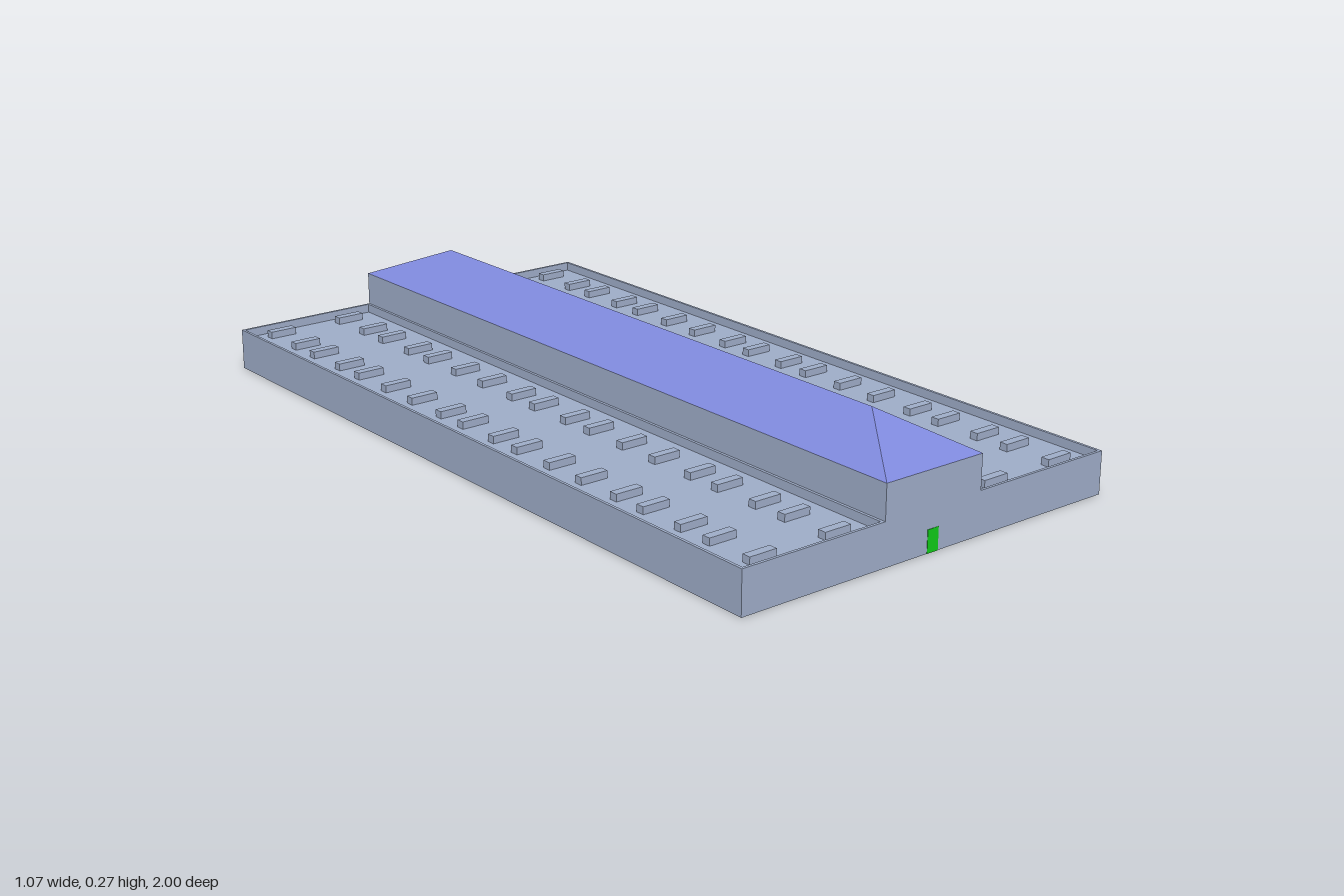
import * as THREE from 'three';

const material = (color) => new THREE.MeshStandardMaterial({ color, flatShading: true });

export function createModel() {
  const model = new THREE.Group();
  const wallMat = material(0x9dabc6);
  const roofMat = material(0x7f89dc);
  const doorMat = material(0x10c818);
  const floorMat = material(0x94897c);
  roofMat.side = THREE.DoubleSide;

  // Box given by its limits on each axis
  const box = (name, mat, x0, x1, y0, y1, z0, z1) => {
    const mesh = new THREE.Mesh(new THREE.BoxGeometry(x1 - x0, y1 - y0, z1 - z0), mat);
    mesh.position.set((x0 + x1) / 2, (y0 + y1) / 2, (z0 + z1) / 2);
    mesh.name = name;
    model.add(mesh);
  };
  // Same box on the given side, limits measured outwards from the middle
  const sideBox = (s, name, mat, a, b, ...rest) =>
    box(name, mat, Math.min(s * a, s * b), Math.max(s * a, s * b), ...rest);

  const W = 0.533, H = 0.142, T = 0.007;
  const deckY = 0.083, parapetY = 0.105, eaveY = 0.19, ridgeY = 0.273;

  for (const s of [-1, 1]) {
    // Flat-roofed wings with thin parapets
    sideBox(s, 'wing', wallMat, H, W, 0, deckY, -1, 1);
    sideBox(s, 'outerParapet', wallMat, W - T, W, deckY, parapetY, -1, 1);
    sideBox(s, 'innerParapet', wallMat, H, H + T, deckY, parapetY, -1, 1);
    for (const e of [-1, 1]) {
      const z = e * (1 - T / 2);
      sideBox(s, 'endParapet', wallMat, H + T, W - T, deckY, parapetY, z - T / 2, z + T / 2);
    }

    // Rooftop vents: three sections, three bays each, two vents per bay
    for (let section = 0; section < 3; section++)
      for (let bay = 0; bay < 3; bay++)
        for (const dz of [0, 0.124])
          for (const x of [0.235, 0.44]) {
            const z = -0.955 + section * 0.673 + bay * 0.216 + dz;
            sideBox(s, 'vent', wallMat, x - 0.036, x + 0.036, deckY, 0.101, z - 0.011, z + 0.011);
          }

    // Long walls of the central hall
    sideBox(s, 'hallSideWall', wallMat, H - T, H, 0, eaveY, -1, 1);

    // Walkway slabs, broken by gaps
    for (let i = 0; i < 6; i++) {
      const z = -0.99 + i * 0.33 + (s > 0 ? 0.03 : 0);
      sideBox(s, 'walkway', floorMat, 0.025, 0.105, 0, 0.006, z, z + 0.27);
    }
    // Inner side doors
    sideBox(1, 'innerDoor', doorMat, -H + T, -H + T + 0.004, 0, 0.055, s * 0.42 - 0.017, s * 0.42 + 0.017);
  }

  // Gable-end walls, entrance doors and partitions of the hall
  for (const e of [-1, 1]) {
    const z = e * (1 - T / 2);
    box('hallEndWall', wallMat, -H, H, 0, eaveY, z - T / 2, z + T / 2);
    box('entranceDoor', doorMat, -0.016, 0.016, 0, 0.055, e * 0.997 - 0.004, e * 0.997 + 0.004);
    box('partition', wallMat, -H + T, H - T, 0.012, eaveY, e / 3 - T / 2, e / 3 + T / 2);
  }
  box('centreWalkway', floorMat, -0.025, 0.025, 0, 0.006, -0.99, 0.99);
  box('hallCeiling', wallMat, -H + T, H - T, eaveY - 0.006, eaveY - 0.001, -0.993, 0.993);

  // Hipped roof: four eave corners and two ridge ends
  const p = [
    [-H, eaveY, 1], [H, eaveY, 1], [H, eaveY, -1], [-H, eaveY, -1],
    [0, ridgeY, 0.805], [0, ridgeY, -0.805],
  ];
  const faces = [[0, 1, 4], [1, 2, 5], [1, 5, 4], [2, 3, 5], [3, 0, 4], [3, 4, 5]];
  const roofGeo = new THREE.BufferGeometry();
  roofGeo.setAttribute('position',
    new THREE.Float32BufferAttribute(faces.flat().flatMap((i) => p[i]), 3));
  roofGeo.computeVertexNormals();
  const roof = new THREE.Mesh(roofGeo, roofMat);
  roof.name = 'hippedRoof';
  model.add(roof);

  return model;
}
